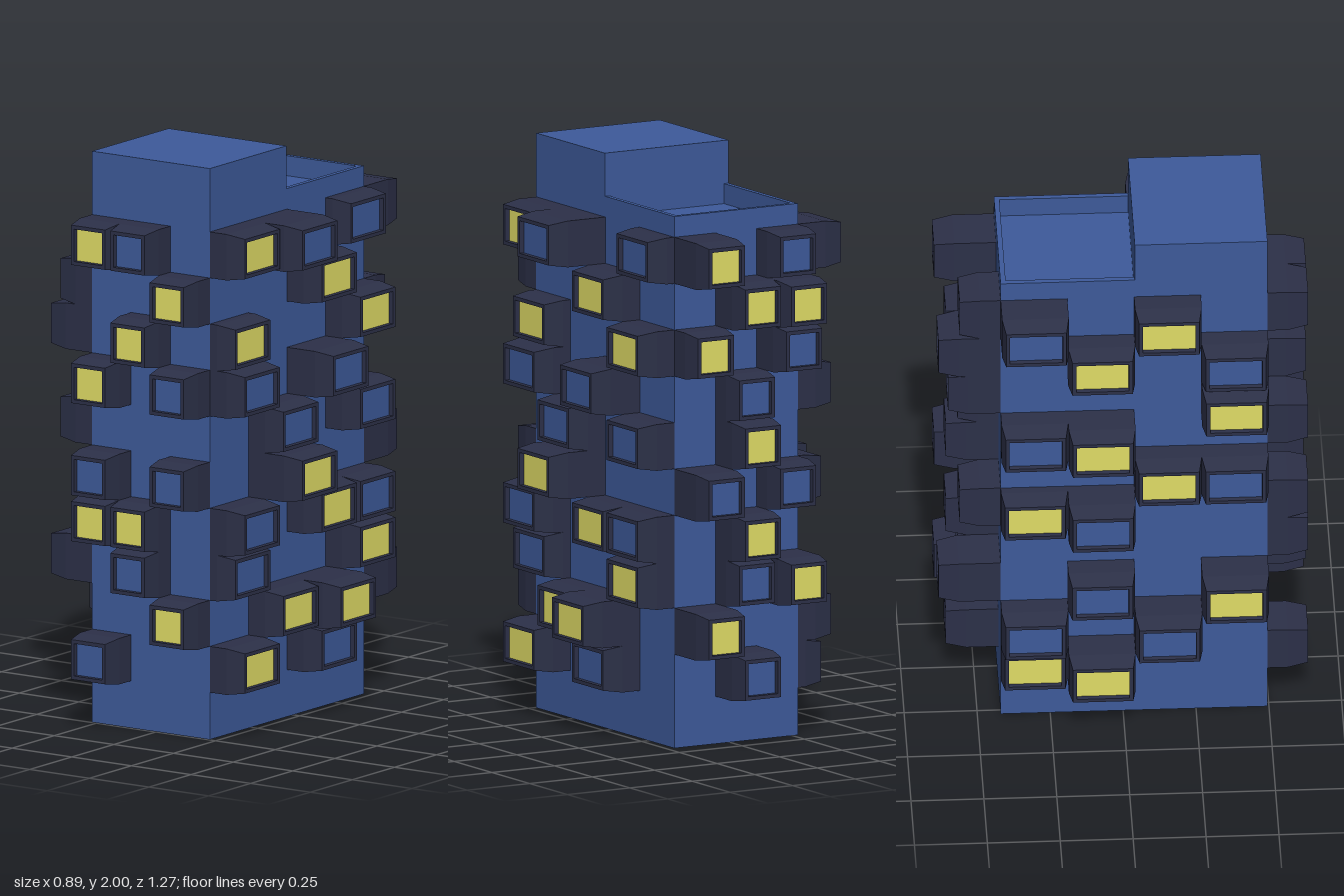
import * as THREE from 'three';

const BLUE = new THREE.MeshStandardMaterial({ color: 0x3d5a9a, flatShading: true });
const DARK = new THREE.MeshStandardMaterial({ color: 0x2c3048, flatShading: true });
const YELLOW = new THREE.MeshStandardMaterial({ color: 0xe0dc66, flatShading: true });

// Body extents
const X0 = -0.272, X1 = 0.222, Z0 = -0.42, Z1 = 0.495, STEP = 0.04;
const ROW0 = 0.165, ROW_H = 0.1613;

function box(name, x0, x1, y0, y1, z0, z1) {
  const mesh = new THREE.Mesh(new THREE.BoxGeometry(x1 - x0, y1 - y0, z1 - z0), BLUE);
  mesh.position.set((x0 + x1) / 2, (y0 + y1) / 2, (z0 + z1) / 2);
  mesh.name = name;
  return mesh;
}

// Bay shell along +z: straight sleeve, tapered end, flat frame, recessed reveal
function bayGeometry(w, h, d) {
  const rings = [[0, 0], [0, d - 0.07], [0.011, d], [0.024, d], [0.024, d - 0.02]];
  const pos = [], index = [];
  for (const [inset, z] of rings) {
    const a = w / 2 - inset, b = h / 2 - inset;
    pos.push(-a, -b, z, a, -b, z, a, b, z, -a, b, z);
  }
  for (let r = 0; r < rings.length - 1; r++) {
    for (let i = 0; i < 4; i++) {
      const a = r * 4 + i, b = r * 4 + (i + 1) % 4;
      index.push(a, b, b + 4, a, b + 4, a + 4);
    }
  }
  const g = new THREE.BufferGeometry();
  g.setAttribute('position', new THREE.Float32BufferAttribute(pos, 3));
  g.setIndex(index);
  const flat = g.toNonIndexed();
  flat.computeVertexNormals();
  return flat;
}

function bay(w, d, lit) {
  const group = new THREE.Group();
  group.name = 'windowBay';
  const shell = new THREE.Mesh(bayGeometry(w, ROW_H, d), DARK);
  shell.name = 'bayFrame';
  const pane = new THREE.Mesh(new THREE.PlaneGeometry(w - 0.048, ROW_H - 0.048), lit ? YELLOW : BLUE);
  pane.name = 'windowPane';
  pane.position.z = d - 0.018;
  group.add(shell, pane);
  return group;
}

// Bays as [row from the bottom, column, depth, lit]; columns run along +x or from the front to the back
const S = 0.10, M = 0.14, L = 0.18, XL = 0.22;
const FRONT = [
  [9, 0, M, 1], [9, 1, M, 0], [8, 2, M, 1], [7, 1, M, 1], [6, 0, M, 1], [6, 2, M, 0], [4, 0, M, 0],
  [4, 2, M, 0], [3, 0, M, 1], [3, 1, M, 1], [2, 1, M, 0], [1, 2, M, 1], [0, 0, M, 0],
];
const BACK = [
  [9, 2, 0.213, 1], [9, 0, M, 0], [8, 1, L, 1], [8, 0, 0.213, 1], [7, 2, M, 1], [7, 0, L, 0],
  [6, 1, M, 0], [5, 1, L, 1], [4, 2, 0.213, 0], [4, 0, M, 0], [3, 1, L, 1], [2, 0, 0.213, 1],
  [2, 1, M, 0], [1, 2, 0.213, 1], [0, 1, L, 0],
];
const LEFT = [
  [9, 0, M, 1], [9, 1, XL, 0], [9, 3, S, 0], [8, 2, M, 1], [7, 0, S, 1], [7, 3, M, 1], [6, 0, M, 0],
  [6, 2, 0.188, 0], [5, 1, M, 0], [5, 3, M, 0], [4, 1, XL, 1], [3, 0, M, 0], [3, 2, M, 1], [3, 3, M, 0],
  [2, 0, S, 0], [2, 3, M, 1], [1, 1, M, 1], [1, 2, XL, 1], [0, 0, M, 1], [0, 2, M, 0],
];
const RIGHT = [
  [9, 1, M, 1], [9, 3, L, 0], [8, 2, M, 1], [8, 0, M, 0], [7, 0, L, 1], [6, 2, L, 1], [6, 3, M, 0],
  [5, 1, M, 1], [5, 0, M, 0], [4, 3, S, 1], [4, 2, L, 0], [2, 0, L, 1], [2, 2, M, 0],
  [1, 1, L, 0], [1, 3, M, 0], [0, 2, L, 1], [0, 3, S, 1],
];

export function createModel() {
  const model = new THREE.Group();
  model.name = 'tower';

  // Tower: tall front block, lower rear block with a parapet around a sunken roof
  const rim = 0.018, top = 1.85, floor = 1.78;
  model.add(
    box('frontBlock', X0, X1, 0, 2, STEP, Z1),
    box('rearBlock', X0, X1, 0, floor, Z0, STEP),
    box('parapetBack', X0, X1, floor, top, Z0, Z0 + rim),
    box('parapetLeft', X1 - rim, X1, floor, top, Z0 + rim, STEP),
    box('parapetRight', X0, X0 + rim, floor, top, Z0 + rim, STEP),
  );

  // Window bays on all four sides
  const wx = (X1 - X0) / 3, wz = (Z1 - Z0) / 4;
  const xAt = (c) => X0 + (c + 0.5) * wx;
  const zAt = (c) => Z1 - (c + 0.5) * wz;
  const sides = [
    ['frontBays', FRONT, wx, 0, (c) => [xAt(c), Z1]],
    ['backBays', BACK, wx, Math.PI, (c) => [xAt(c), Z0]],
    ['leftBays', LEFT, wz, Math.PI / 2, (c) => [X1, zAt(c)]],
    ['rightBays', RIGHT, wz, -Math.PI / 2, (c) => [X0, zAt(c)]],
  ];
  for (const [name, list, width, turn, place] of sides) {
    const side = new THREE.Group();
    side.name = name;
    for (const [row, col, depth, lit] of list) {
      const b = bay(width, depth, lit);
      const [x, z] = place(col);
      b.position.set(x, ROW0 + (row + 0.5) * ROW_H, z);
      b.rotation.y = turn;
      side.add(b);
    }
    model.add(side);
  }
  return model;
}
